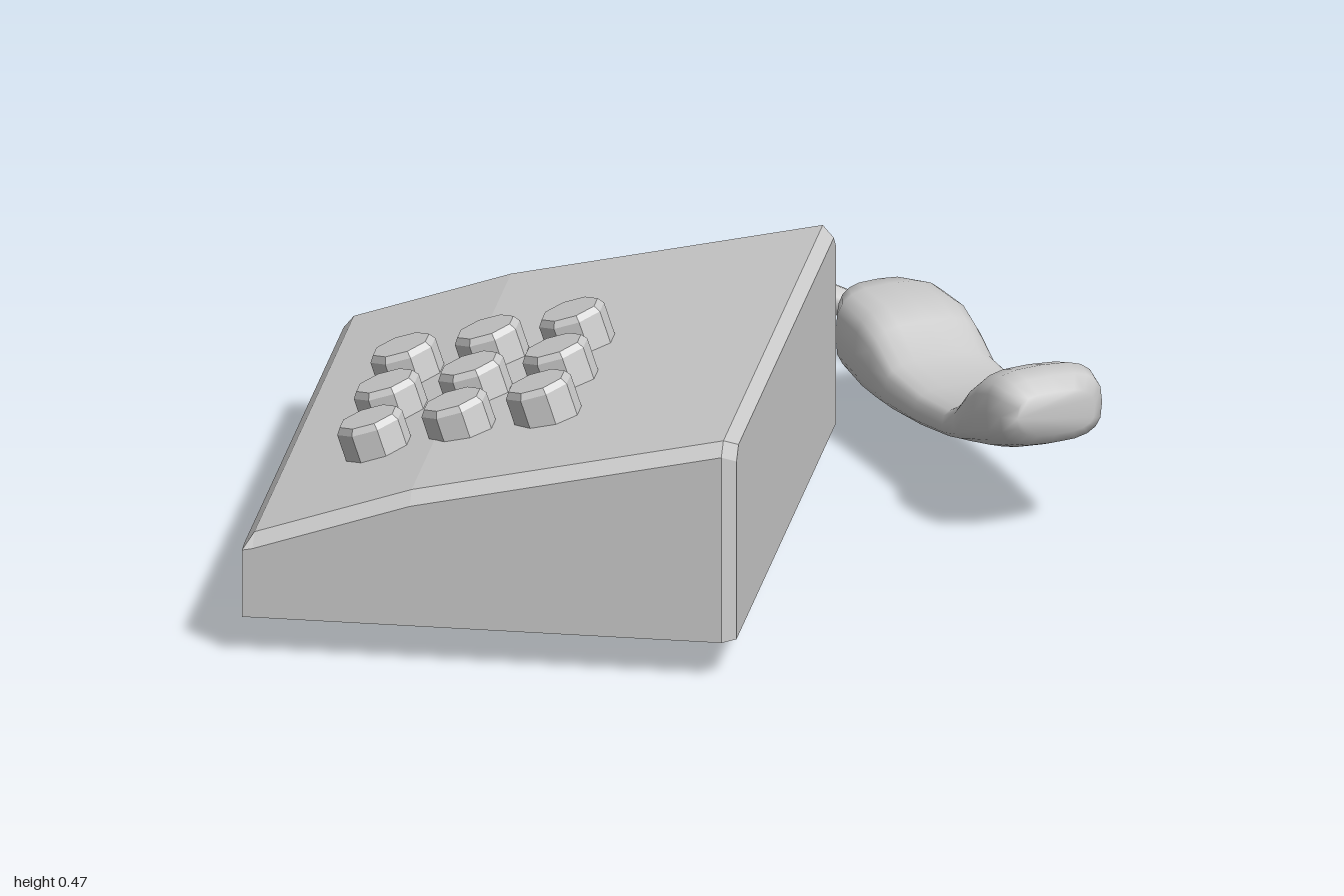
import * as THREE from 'three';

const smooth = new THREE.MeshStandardMaterial({ color: 0xcccccc });
const faceted = new THREE.MeshStandardMaterial({ color: 0xcccccc, flatShading: true });

// Closed skin through equal-sized rings of Vector3, capped at both ends.
function loft(rings) {
  const n = rings[0].length, last = (rings.length - 1) * n, index = [];
  for (let i = 0; i < rings.length - 1; i++) {
    for (let j = 0; j < n; j++) {
      const k = (j + 1) % n;
      const a = i * n + j, b = a + n, c = (i + 1) * n + k, d = i * n + k;
      index.push(a, b, c, a, c, d);
    }
  }
  for (let j = 1; j < n - 1; j++) {
    index.push(0, j, j + 1, last, last + j + 1, last + j);
  }
  const geometry = new THREE.BufferGeometry().setFromPoints(rings.flat());
  geometry.setIndex(index);
  geometry.computeVertexNormals();
  return geometry;
}

function named(name, geometry, material) {
  const mesh = new THREE.Mesh(geometry, material);
  mesh.name = name;
  return mesh;
}

// Wedge body: sections across z, stepped along x, with chamfered upper edges.
function createBody() {
  const bevel = 0.025, bottom = 0.08;
  const stations = [ // x, top height, edge inset
    [-0.75, 0.218, 0], [-0.73, 0.243, 0], [-0.43, 0.345, 0],
    [0.165, 0.477, 0], [0.19, 0.462, bevel],
  ];
  const rings = stations.map(([x, top, inset]) => {
    const front = 1 - inset, back = -0.245 + inset;
    const drop = x === -0.75 ? 0.004 : bevel;
    return [
      [front, bottom], [front, top - drop], [front - bevel, top],
      [back + bevel, top], [back, top - drop], [back, bottom],
    ].map(([z, y]) => new THREE.Vector3(x, y, z));
  });
  return named('body', loft(rings).toNonIndexed(), faceted);
}

// Nine eight-sided buttons leaning with the sloped top.
function createButtons() {
  const group = new THREE.Group();
  group.name = 'buttons';
  const profile = [[0, -0.1], [0.066, -0.1], [0.066, -0.012], [0.057, 0], [0, 0]]
    .map(([r, y]) => new THREE.Vector2(r, y));
  const geometry = new THREE.LatheGeometry(profile, 8, Math.PI / 8);
  for (let column = 0; column < 3; column++) {
    for (let row = 0; row < 3; row++) {
      const button = named('button', geometry, faceted);
      button.position.set(-0.564 + column * 0.161, 0.369 + column * 0.045, 0.26 + row * 0.2);
      button.rotation.z = 0.32;
      group.add(button);
    }
  }
  return group;
}

// Handset: rounded sections along a diagonal axis, with a raised cup at each end.
function createHandset() {
  const axis = new THREE.Vector3(0.543, 0, 0.84);
  const side = new THREE.Vector3(-0.84, 0, 0.543);
  const sections = [ // distance along axis, bottom, top, half width
    [-0.125, 0.15, 0.235, 0.055], [-0.1, 0.12, 0.265, 0.085],
    [-0.04, 0.103, 0.276, 0.115], [0.06, 0.092, 0.276, 0.12],
    [0.12, 0.092, 0.255, 0.117], [0.19, 0.1, 0.208, 0.114],
    [0.32, 0.115, 0.198, 0.112], [0.45, 0.137, 0.21, 0.112],
    [0.5, 0.147, 0.235, 0.112], [0.55, 0.157, 0.29, 0.113],
    [0.6, 0.168, 0.328, 0.114], [0.66, 0.187, 0.347, 0.114],
    [0.705, 0.205, 0.34, 0.105], [0.728, 0.23, 0.315, 0.08],
  ];
  const sides = 20;
  const round = (v) => Math.sign(v) * Math.abs(v) ** 0.65;
  const rings = sections.map(([s, low, high, width]) =>
    Array.from({ length: sides }, (_, j) => {
      const t = (j / sides) * Math.PI * 2;
      const p = new THREE.Vector3(0.278, (low + high) / 2, -0.434);
      p.addScaledVector(axis, s).addScaledVector(side, width * round(Math.cos(t)));
      p.y += ((high - low) / 2) * round(Math.sin(t));
      return p;
    }));
  return named('handset', loft(rings), smooth);
}

// Kinked cord looping from the back of the body to the handset.
function createCord() {
  const path = [
    [-0.18, 0.24, -0.22], [-0.18, 0.235, -0.31], [-0.26, 0.21, -0.315],
    [-0.34, 0.2, -0.335], [-0.37, 0.2, -0.4], [-0.38, 0.18, -0.48],
    [-0.455, 0.16, -0.545], [-0.475, 0.15, -0.6], [-0.435, 0.12, -0.68],
    [-0.395, 0.1, -0.725], [-0.405, 0.07, -0.81], [-0.35, 0.08, -0.87],
    [-0.245, 0.09, -0.875], [-0.19, 0.035, -0.925], [-0.14, 0.04, -0.972],
    [-0.065, 0.075, -0.945], [0, 0.1, -0.9], [0.125, 0.055, -0.91],
    [0.16, 0.055, -0.845], [0.17, 0.1, -0.755], [0.24, 0.1, -0.7],
    [0.275, 0.11, -0.65], [0.23, 0.15, -0.59], [0.2, 0.175, -0.5],
  ].map((p) => new THREE.Vector3(...p));
  const curve = new THREE.CatmullRomCurve3(path);
  return named('cord', new THREE.TubeGeometry(curve, 92, 0.028, 7), smooth);
}

export function createModel() {
  const model = new THREE.Group();
  model.name = 'telephone';
  model.add(createBody(), createButtons(), createHandset(), createCord());
  return model;
}
